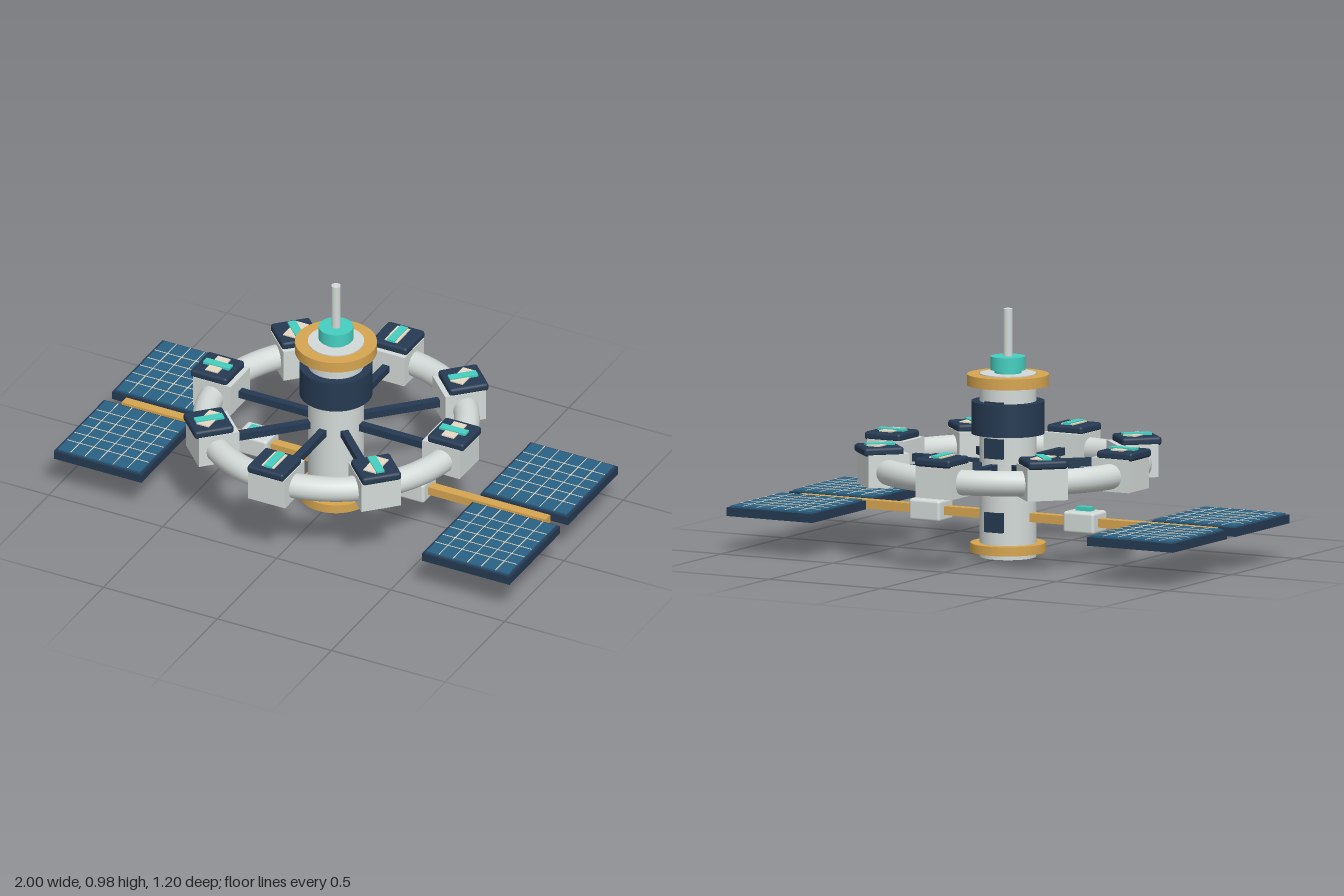
import * as THREE from 'three';
import { RoundedBoxGeometry } from 'three/addons/geometries/RoundedBoxGeometry.js';

const mat = (color) => new THREE.MeshStandardMaterial({ color });
const M = {
  hull: mat(0xd3dad8), navy: mat(0x263a52), gold: mat(0xd6a550),
  teal: mat(0x45cfc0), cell: mat(0x2a6184), cream: mat(0xe6d9c3),
};

export function createModel() {
  const station = new THREE.Group();
  station.name = 'spaceStation';

  const add = (parent, name, geometry, material, x = 0, y = 0, z = 0) => {
    const mesh = new THREE.Mesh(geometry, material);
    mesh.name = name;
    mesh.position.set(x, y, z);
    parent.add(mesh);
    return mesh;
  };
  const box = (parent, name, material, w, h, d, x, y, z, r = 0) =>
    add(parent, name, r ? new RoundedBoxGeometry(w, h, d, 3, r) : new THREE.BoxGeometry(w, h, d), material, x, y, z);
  // Upright cylinder between two heights
  const drum = (name, material, r, y0, y1) =>
    add(station, name, new THREE.CylinderGeometry(r, r, y1 - y0, 48), material, 0, (y0 + y1) / 2, 0);

  // Central core with collars, docking port and mast
  drum('core', M.hull, 0.11, 0, 0.722);
  drum('baseCollar', M.gold, 0.147, 0.02, 0.056);
  drum('equipmentBand', M.navy, 0.143, 0.485, 0.613);
  drum('topCollar', M.gold, 0.16, 0.675, 0.718);
  drum('dockingNeck', M.teal, 0.052, 0.715, 0.74);
  drum('dockingPort', M.teal, 0.068, 0.735, 0.788);
  drum('mast', M.hull, 0.018, 0.78, 0.975);

  // Column of service panels up the back of the core
  for (let i = 0; i < 4; i++)
    box(station, 'servicePanel', M.navy, 0.08, 0.078, 0.022, 0, 0.146 + i * 0.145, -0.107);

  // Habitat ring
  const ring = add(station, 'habitatRing', new THREE.TorusGeometry(0.51, 0.05, 24, 96), M.hull, 0, 0.36, 0);
  ring.rotation.x = Math.PI / 2;

  // Eight spokes, each ending in a pod
  for (let i = 0; i < 8; i++) {
    const arm = new THREE.Group();
    arm.name = 'ringArm';
    arm.rotation.y = (i * Math.PI) / 4;
    station.add(arm);
    box(arm, 'spoke', M.navy, 0.38, 0.03, 0.03, 0.28, 0.36, 0);
    box(arm, 'pod', M.hull, 0.165, 0.13, 0.163, 0.503, 0.365, 0);
    box(arm, 'podRoof', M.navy, 0.16, 0.034, 0.16, 0.52, 0.441, 0, 0.012);
    box(arm, 'roofLight', M.teal, 0.115, 0.012, 0.034, 0.518, 0.461, 0);
    // Roof hatches all share one heading
    const hatch = box(arm, 'roofHatch', M.cream, 0.055, 0.01, 0.11, 0.518, 0.458, 0);
    hatch.rotation.y = -arm.rotation.y;
  }

  // Solar wings on both sides
  for (const s of [1, -1]) {
    const wing = new THREE.Group();
    wing.name = s > 0 ? 'leftWing' : 'rightWing';
    station.add(wing);
    box(wing, 'boom', M.gold, 0.85, 0.034, 0.04, s * 0.505, 0.162, 0);
    box(wing, 'boomModule', M.hull, 0.138, 0.085, 0.112, s * 0.345, 0.162, 0, 0.012);
    box(wing, 'moduleLight', M.teal, 0.065, 0.016, 0.034, s * 0.345, 0.213, 0);

    for (const f of [1, -1]) {
      const panel = new THREE.Group();
      panel.name = 'solarPanel';
      panel.position.set(s * 0.808, 0.161, f * 0.246);
      wing.add(panel);
      box(panel, 'panelFrame', M.navy, 0.384, 0.034, 0.424, 0, 0, 0);
      box(panel, 'solarCells', M.cell, 0.36, 0.012, 0.4, 0, 0.018, 0);
      // Thin grid lines over the cells
      for (let i = -2; i <= 2; i++) {
        box(panel, 'gridLine', M.cream, 0.003, 0.002, 0.4, i * 0.062, 0.0245, 0);
        box(panel, 'gridLine', M.cream, 0.36, 0.002, 0.003, 0, 0.0245, i * 0.062);
      }
    }
  }
  return station;
}
